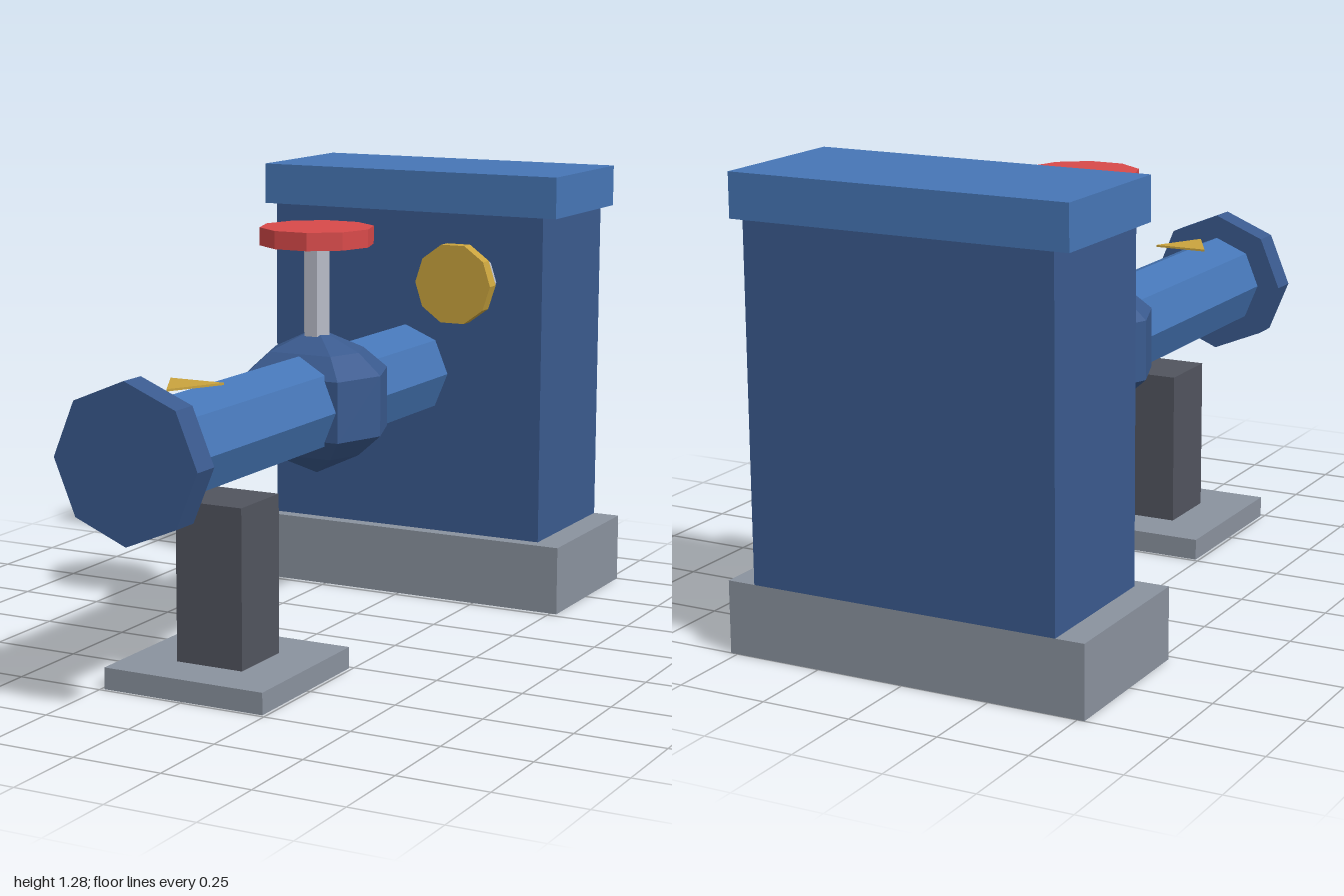
import * as THREE from 'three';
import { ConvexGeometry } from 'three/addons/geometries/ConvexGeometry.js';

const mat = (name, color) => {
  const m = new THREE.MeshStandardMaterial({ color, flatShading: true });
  m.name = name;
  return m;
};

export function createModel() {
  const model = new THREE.Group();
  model.name = 'pumpStation';
  const darkBlue = mat('darkBlue', 0x3a5a8e);
  const blue = mat('blue', 0x4676b6);
  const concrete = mat('concrete', 0x8a929e);
  const charcoal = mat('charcoal', 0x51545e);
  const red = mat('red', 0xd84a4a);
  const brass = mat('brass', 0xcaa43e);
  const steel = mat('steel', 0xb8bcc8);

  const add = (name, geometry, material) => {
    const mesh = new THREE.Mesh(geometry, material);
    mesh.name = name;
    model.add(mesh);
    return mesh;
  };
  // Box given by its extents on each axis
  const box = (name, material, [x0, x1], [y0, y1], [z0, z1]) =>
    add(name, new THREE.BoxGeometry(x1 - x0, y1 - y0, z1 - z0)
      .translate((x0 + x1) / 2, (y0 + y1) / 2, (z0 + z1) / 2), material);
  // Prism along z, with a corner pointing along x
  const prismZ = (name, material, r, sides, x, y, z0, z1) =>
    add(name, new THREE.CylinderGeometry(r, r, z1 - z0, sides)
      .rotateY(Math.PI / 2).rotateX(Math.PI / 2)
      .translate(x, y, (z0 + z1) / 2), material);
  // Upright prism, with a corner pointing along x
  const prismY = (name, material, r, sides, y0, y1) =>
    add(name, new THREE.CylinderGeometry(r, r, y1 - y0, sides)
      .rotateY(Math.PI / 2).translate(0, (y0 + y1) / 2, 0), material);

  // Cabinet on its plinth
  box('plinth', concrete, [-0.52, 0.52], [0, 0.2], [-1, -0.52]);
  box('cabinet', darkBlue, [-0.44, 0.44], [0.2, 1.16], [-1, -0.56]);
  box('cabinetLid', blue, [-0.48, 0.48], [1.16, 1.28], [-1, -0.56]);

  // Pipe and end flange
  const axisY = 0.68;
  prismZ('pipe', blue, 0.14, 8, 0, axisY, -0.56, 0.92);
  prismZ('endFlange', darkBlue, 0.21, 8, 0, axisY, 0.92, 1);

  // Pipe support
  box('supportFoot', concrete, [-0.24, 0.24], [0, 0.06], [0.26, 0.74]);
  box('supportPost', charcoal, [-0.1, 0.1], [0.06, 0.5], [0.4, 0.6]);

  // Faceted valve body: upright band narrowing to a point above and below
  const points = [];
  for (const s of [-1, 1]) {
    points.push(new THREE.Vector3(0, s * 0.207, 0));
    for (const [y, k] of [[0.085, 1], [0.145, 0.66]]) {
      for (const [x, z] of [[0.2, 0], [0.145, 0.15], [0.145, -0.15]]) {
        points.push(new THREE.Vector3(x * k, s * y, z * k));
        points.push(new THREE.Vector3(-x * k, s * y, z * k));
      }
    }
  }
  add('valveBody', new ConvexGeometry(points).translate(0, axisY, 0), darkBlue);
  prismY('valveStem', steel, 0.04, 6, 0.7, 1.12);
  prismY('valveWheel', red, 0.16, 10, 1.12, 1.17);

  // Gauge on the cabinet front
  prismZ('gaugeNeck', steel, 0.095, 10, 0.2, 0.965, -0.56, -0.5);
  prismZ('gaugeFace', brass, 0.12, 10, 0.2, 0.965, -0.5, -0.46);

  // Flow arrow above the pipe, pointing to the flange
  const arrow = new THREE.Shape([
    new THREE.Vector2(-0.08, -0.65),
    new THREE.Vector2(0, -0.8),
    new THREE.Vector2(0.08, -0.65),
  ]);
  add('flowArrow', new THREE.ExtrudeGeometry(arrow, { depth: 0.006, bevelEnabled: false })
    .rotateX(-Math.PI / 2).translate(0, 0.832, 0), brass);

  return model;
}
